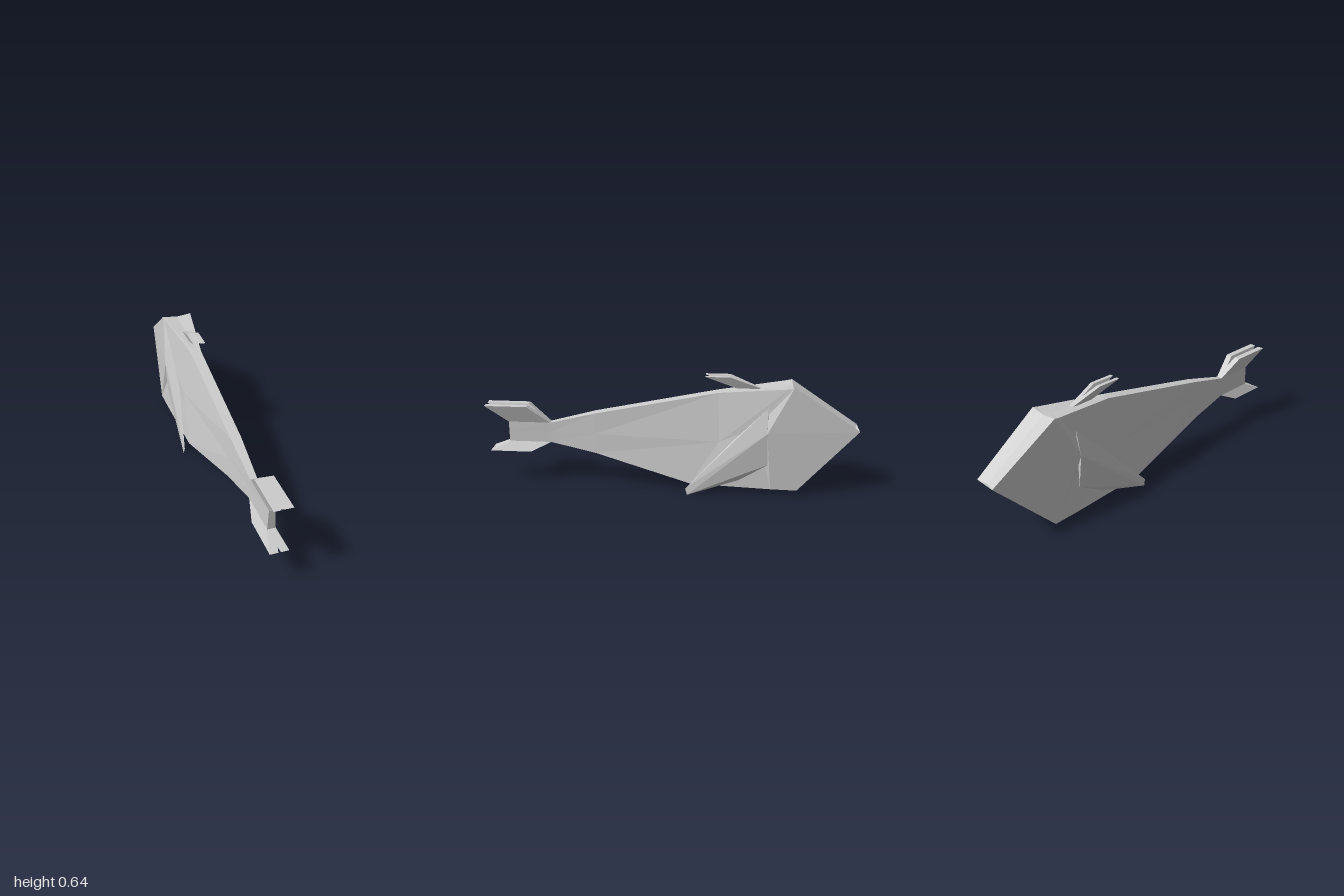
import * as THREE from 'three';
import { ConvexGeometry } from 'three/addons/geometries/ConvexGeometry.js';

const material = new THREE.MeshStandardMaterial({ color: 0xcccccc, flatShading: true });

function part(name, geometry) {
  const mesh = new THREE.Mesh(geometry, material);
  mesh.name = name;
  return mesh;
}

// Each section: top, side and bottom corner [x, y, z] of the left half, then the top centre [y, z]
const sections = [
  [[0.06, 0.367, -1], [0.06, 0.367, -1], [0.06, 0.367, -1], [0.365, -0.985]],
  [[0.083, 0.602, -0.645], [0.11, 0.36, -0.52], [0.098, 0.035, -0.69], [0.592, -0.645]],
  [[0.08, 0.597, -0.62], [0.079, 0.38, -0.46], [0.097, 0.037, -0.55], [0.589, -0.61]],
  [[0.03, 0.552, -0.26], [0.067, 0.29, -0.27], [0.09, 0.05, -0.12], [0.552, -0.26]],
  [[0.027, 0.415, 0.4], [0.033, 0.3, 0.4], [0.04, 0.19, 0.4], [0.415, 0.4]],
  [[0.017, 0.35, 0.65], [0.018, 0.295, 0.65], [0.02, 0.238, 0.65], [0.35, 0.65]],
  [[0.016, 0.35, 0.88], [0.018, 0.295, 0.88], [0.02, 0.238, 0.88], [0.35, 0.88]],
];

// Body lofted through mirrored sections, closed at both ends
function bodyGeometry() {
  const n = 7;
  const positions = [];
  const index = [];
  for (const [top, side, bottom, centre] of sections) {
    const left = [top, side, bottom];
    const right = [bottom, side, top].map(([x, y, z]) => [-x, y, z]);
    positions.push(...[...left, ...right, [0, ...centre]].flat());
  }
  for (let i = 0; i < sections.length - 1; i++) {
    for (let j = 0; j < n; j++) {
      const a = i * n + j;
      const b = i * n + (j + 1) % n;
      index.push(a, a + n, b + n, a, b + n, b);
    }
  }
  const last = (sections.length - 1) * n;
  for (let j = 0; j < n - 2; j++) {
    index.push(6, j, j + 1);
    index.push(last + 6, last + j + 1, last + j);
  }
  const geometry = new THREE.BufferGeometry();
  geometry.setAttribute('position', new THREE.Float32BufferAttribute(positions, 3));
  geometry.setIndex(index);
  const flat = geometry.toNonIndexed();
  flat.computeVertexNormals();
  return flat;
}

// Notched fin: a V section extruded along z, swept back towards its tips
function notchedFin({ base, tip, baseWidth, tipWidth, gap, notch, z, length, sweep }) {
  const shape = new THREE.Shape([
    [-baseWidth, base], [baseWidth, base], [tipWidth, tip], [gap, tip],
    [0, notch], [-gap, tip], [-tipWidth, tip],
  ].map(([x, y]) => new THREE.Vector2(x, y)));
  const geometry = new THREE.ExtrudeGeometry(shape, { depth: length, bevelEnabled: false });
  const p = geometry.attributes.position;
  for (let i = 0; i < p.count; i++) {
    p.setZ(i, p.getZ(i) + z + sweep * (p.getY(i) - base) / (tip - base));
  }
  geometry.computeVertexNormals();
  return geometry;
}

// Flipper growing out of the cheek ridge and sweeping down and back
function flipperGeometry(side) {
  return new ConvexGeometry([
    [0.11, 0.36, -0.52], [0.08, 0.49, -0.52], [0.079, 0.29, -0.33],
    [0.1, 0.18, -0.53], [0.097, 0.085, -0.38],
    [0.123, 0.035, -0.095], [0.127, 0, -0.105], [0.122, 0.005, -0.125],
  ].map(([x, y, z]) => new THREE.Vector3(x * side, y, z)));
}

export function createModel() {
  const group = new THREE.Group();
  group.name = 'fish';
  group.add(part('body', bodyGeometry()));
  group.add(part('leftFlipper', flipperGeometry(1)));
  group.add(part('rightFlipper', flipperGeometry(-1)));
  group.add(part('dorsalFin', notchedFin({
    base: 0.573, tip: 0.638, baseWidth: 0.011, tipWidth: 0.033, gap: 0.013,
    notch: 0.604, z: -0.485, length: 0.13, sweep: 0.165,
  })));
  group.add(part('upperTailFin', notchedFin({
    base: 0.35, tip: 0.447, baseWidth: 0.017, tipWidth: 0.047, gap: 0.013,
    notch: 0.407, z: 0.65, length: 0.23, sweep: 0.12,
  })));
  group.add(part('lowerTailFin', notchedFin({
    base: 0.238, tip: 0.187, baseWidth: 0.02, tipWidth: 0.047, gap: 0.006,
    notch: 0.198, z: 0.65, length: 0.225, sweep: 0.11,
  })));
  return group;
}
